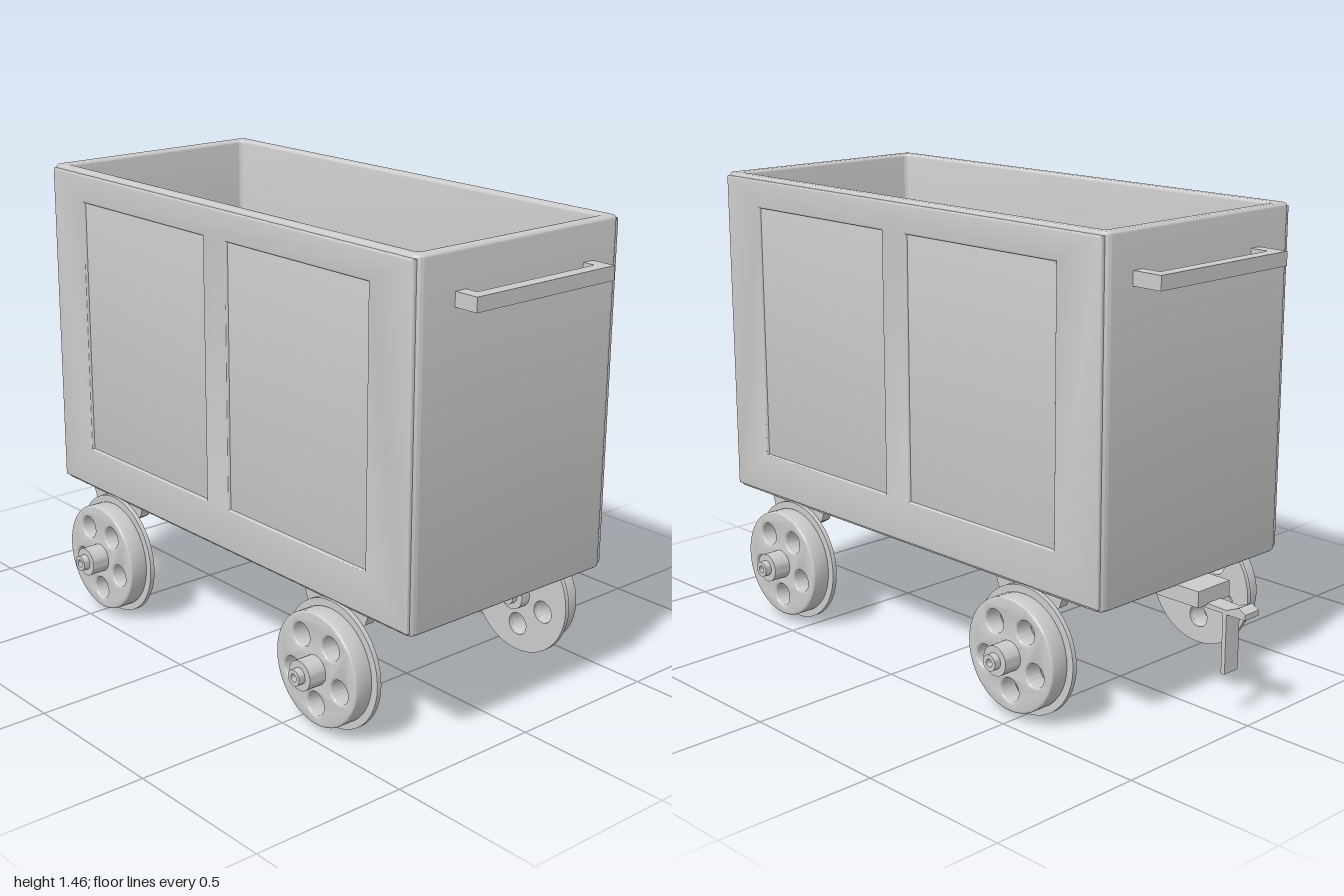
import * as THREE from 'three';
import { toCreasedNormals } from 'three/addons/utils/BufferGeometryUtils.js';

const material = new THREE.MeshStandardMaterial({ color: 0xcccccc });

function add(parent, name, geometry, x = 0, y = 0, z = 0) {
  const mesh = new THREE.Mesh(geometry, material);
  mesh.name = name;
  mesh.position.set(x, y, z);
  parent.add(mesh);
  return mesh;
}

function box(parent, name, x0, x1, y0, y1, z0, z1) {
  return add(parent, name, new THREE.BoxGeometry(x1 - x0, y1 - y0, z1 - z0),
    (x0 + x1) / 2, (y0 + y1) / 2, (z0 + z1) / 2);
}

function extrude(shape, depth, bevel = 0) {
  const geometry = new THREE.ExtrudeGeometry(shape, {
    depth: depth - 2 * bevel, curveSegments: 24, bevelEnabled: bevel > 0,
    bevelSize: bevel, bevelThickness: bevel, bevelOffset: -bevel, bevelSegments: 3,
  });
  geometry.translate(0, 0, bevel);
  return toCreasedNormals(geometry, 0.6);
}

function roundedRect(Type, w, h, r) {
  const s = new Type();
  s.absarc(w - r, h - r, r, 0, Math.PI / 2);
  s.absarc(-w + r, h - r, r, Math.PI / 2, Math.PI);
  s.absarc(-w + r, -h + r, r, Math.PI, Math.PI * 1.5);
  s.absarc(w - r, -h + r, r, Math.PI * 1.5, Math.PI * 2);
  s.closePath();
  return s;
}

function rect(Type, x0, x1, y0, y1) {
  return new Type([[x0, y0], [x1, y0], [x1, y1], [x0, y1]].map(p => new THREE.Vector2(...p)));
}

// Disc with five lightening holes and a bore
function wheelDisc(radius, depth, bevel) {
  const s = new THREE.Shape().absarc(0, 0, radius, 0, Math.PI * 2);
  for (let i = 0; i < 5; i++) {
    const a = -Math.PI / 2 + i * Math.PI * 2 / 5;
    s.holes.push(new THREE.Path().absarc(0.108 * Math.cos(a), 0.108 * Math.sin(a), 0.036, 0, Math.PI * 2));
  }
  s.holes.push(new THREE.Path().absarc(0, 0, 0.02, 0, Math.PI * 2));
  return extrude(s, depth, bevel);
}

// Flanged wheel with hub and hollow axle, axis along +z, outer face outward
function createWheel() {
  const wheel = new THREE.Group();
  wheel.name = 'wheel';
  add(wheel, 'wheelFlange', wheelDisc(0.197, 0.015, 0), 0, 0, 0.385);
  add(wheel, 'wheelTread', wheelDisc(0.175, 0.063, 0.006), 0, 0, 0.398);
  const profile = [[0.012, 0.33], [0.025, 0.33], [0.025, 0.35], [0.046, 0.35], [0.046, 0.52],
    [0.025, 0.52], [0.025, 0.542], [0.012, 0.542], [0.012, 0.33]].map(p => new THREE.Vector2(...p));
  const hub = new THREE.LatheGeometry(profile, 32);
  hub.rotateX(Math.PI / 2);
  add(wheel, 'hub', toCreasedNormals(hub, 0.6));
  return wheel;
}

export function createModel() {
  const model = new THREE.Group();
  model.name = 'mineCart';
  const cx = 0.07; // middle of the tub

  // Open tub: wall ring and floor
  const tub = new THREE.Group();
  tub.name = 'tub';
  tub.position.x = cx;
  model.add(tub);
  const ring = roundedRect(THREE.Shape, 0.85, 0.392, 0.025);
  ring.holes.push(roundedRect(THREE.Path, 0.81, 0.353, 0.015));
  add(tub, 'walls', extrude(ring, 1.07, 0.01), 0, 0.39, 0).rotation.x = -Math.PI / 2;
  const floor = extrude(roundedRect(THREE.Shape, 0.835, 0.38, 0.02), 0.04, 0.008);
  add(tub, 'floor', floor, 0, 0.39, 0).rotation.x = -Math.PI / 2;

  // Side skins whose openings form two shallow panels
  const skin = rect(THREE.Shape, -0.77, 0.91, 0.4, 1.45);
  skin.holes.push(rect(THREE.Path, -0.6, 0.02, 0.535, 1.36), rect(THREE.Path, 0.13, 0.74, 0.535, 1.36));
  const skinGeometry = extrude(skin, 0.02, 0.006);
  add(model, 'panelFrameFront', skinGeometry, 0, 0, 0.38);
  const back = skinGeometry.clone().translate(-cx, 0, 0).rotateY(Math.PI);
  // Mirror the panel layout in x
  const p = back.attributes.position;
  for (let i = 0; i < p.count; i++) p.setX(i, -p.getX(i));
  for (let i = 0; i < p.count; i += 3) {
    const a = new THREE.Vector3().fromBufferAttribute(p, i + 1);
    const b = new THREE.Vector3().fromBufferAttribute(p, i + 2);
    p.setXYZ(i + 1, b.x, b.y, b.z);
    p.setXYZ(i + 2, a.x, a.y, a.z);
  }
  add(model, 'panelFrameBack', toCreasedNormals(back, 0.6), cx, 0, -0.38);

  // Push handles at both ends
  for (const side of [-1, 1]) {
    const handle = new THREE.Group();
    handle.name = side > 0 ? 'leftHandle' : 'rightHandle';
    const inner = side > 0 ? 0.91 : -0.77;
    const outer = side > 0 ? 1.0 : -0.88;
    const bar = outer - side * 0.04;
    const span = (a, b) => [Math.min(a, b), Math.max(a, b)];
    box(handle, 'handleBar', ...span(bar, outer), 1.302, 1.345, -0.285, 0.255);
    for (const z of [-0.285, 0.215]) box(handle, 'handleArm', ...span(inner, bar), 1.302, 1.345, z, z + 0.04);
    model.add(handle);
  }

  // Four wheels with tapered hanger brackets
  const bracket = new THREE.Shape([[-0.14, 0.4], [0.14, 0.4], [0.125, 0.36], [0.07, 0.33],
    [-0.07, 0.33], [-0.125, 0.36]].map(q => new THREE.Vector2(...q)));
  const bracketGeometry = extrude(bracket, 0.032);
  for (const x of [-0.485, 0.602]) {
    for (const side of [1, -1]) {
      const wheel = createWheel();
      wheel.position.set(x, 0.2, 0);
      if (side < 0) wheel.rotation.y = Math.PI;
      model.add(wheel);
      add(model, 'wheelBracket', bracketGeometry, x, 0, side > 0 ? 0.352 : -0.384);
    }
  }

  // Drawbar, hooked tongue and hanging coupling link
  box(model, 'drawbar', -0.86, -0.5, 0.345, 0.395, -0.07, 0.07);
  const tongue = new THREE.Shape([[-1, 0.335], [-0.6, 0.335], [-0.6, 0.348], [-0.87, 0.35],
    [-0.93, 0.347], [-0.975, 0.366], [-1, 0.352]].map(q => new THREE.Vector2(...q)));
  add(model, 'tongue', extrude(tongue, 0.06), 0, 0, -0.03);
  box(model, 'couplingLink', -0.932, -0.918, 0.15, 0.34, -0.03, 0.03);

  return model;
}
